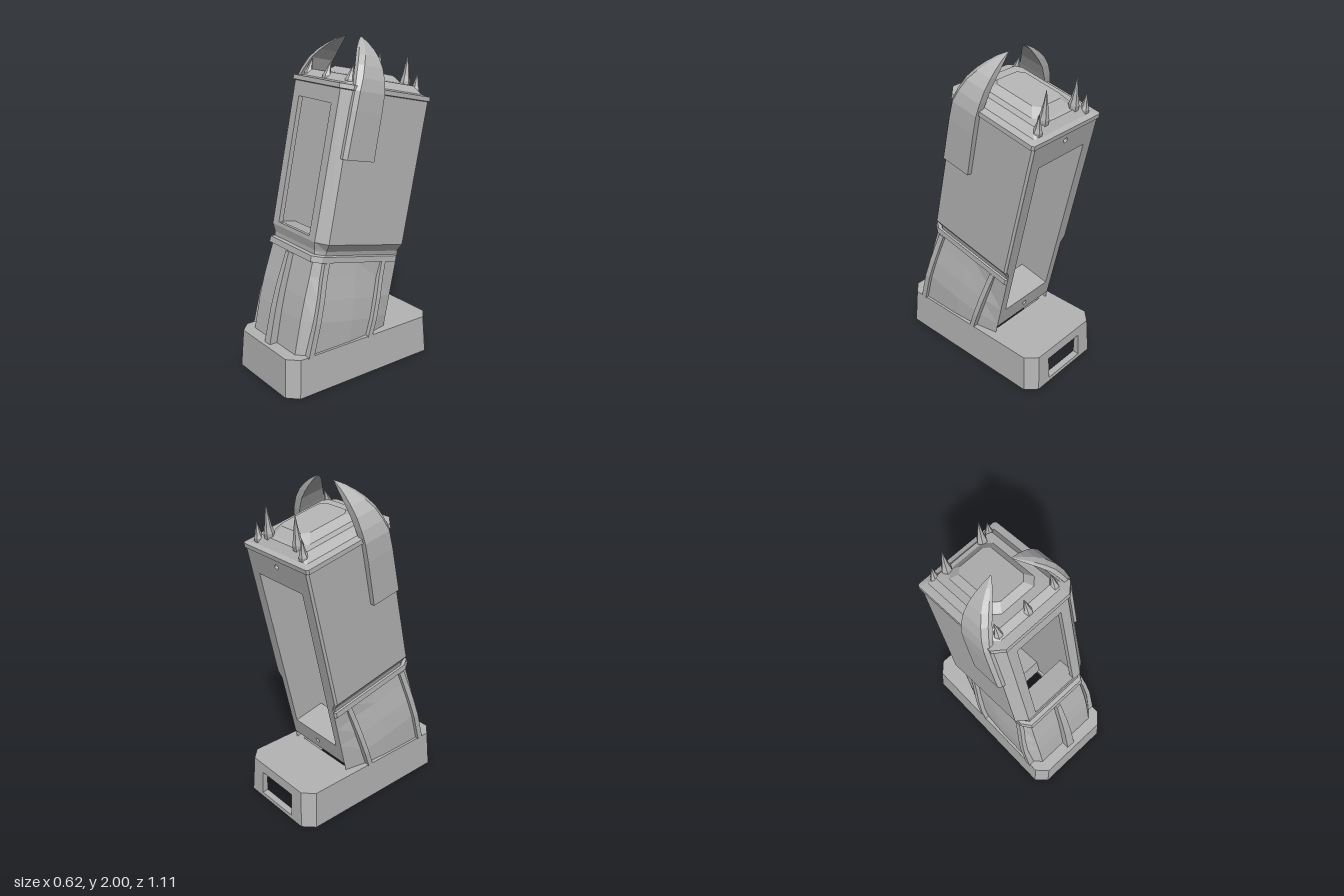
import * as THREE from 'three';

const TILT = THREE.MathUtils.degToRad(12);

export function createModel() {
  const root = new THREE.Group();
  root.name = 'leaningTower';
  const grey = new THREE.MeshStandardMaterial({ color: 0xb4b4b4, side: THREE.DoubleSide });
  grey.name = 'plain grey';

  function add(parent, name, geometry) {
    const mesh = new THREE.Mesh(geometry, grey);
    mesh.name = name;
    parent.add(mesh);
    return mesh;
  }

  // Skins a stack of rings, flat shaded; optionally closed round and capped.
  function loft(rings, { close = true, bottom = false, top = false } = {}) {
    const out = [];
    const n = rings[0].length;
    const tri = (a, b, c) => out.push(...a, ...b, ...c);
    for (let r = 0; r < rings.length - 1; r++) {
      for (let i = 0; i < (close ? n : n - 1); i++) {
        const j = (i + 1) % n;
        const a = rings[r][i], b = rings[r][j], c = rings[r + 1][j], d = rings[r + 1][i];
        tri(a, d, c);
        tri(a, c, b);
      }
    }
    const last = rings[rings.length - 1];
    for (let i = 1; i < n - 1; i++) {
      if (bottom) tri(rings[0][0], rings[0][i], rings[0][i + 1]);
      if (top) tri(last[0], last[i + 1], last[i]);
    }
    const g = new THREE.BufferGeometry();
    g.setAttribute('position', new THREE.Float32BufferAttribute(out, 3));
    g.computeVertexNormals();
    return g;
  }

  // Completes a +x half outline (back to front) with its mirror image.
  const mirror = (half) => [...half, ...half.map(([x, y, z]) => [-x, y, z]).reverse()];
  const octagon = (y, hx, zb, zf, cut, backCut = cut) => mirror([
    [hx - backCut, y, zb], [hx, y, zb + backCut], [hx, y, zf - cut], [hx - cut, y, zf]]);

  const path = (points) => new THREE.Path(points.map(([x, y]) => new THREE.Vector2(x, y)));
  function plate(points, holes, depth) {
    const shape = new THREE.Shape(points.map(([x, y]) => new THREE.Vector2(x, y)));
    shape.holes.push(...holes);
    return new THREE.ExtrudeGeometry(shape, { depth, bevelEnabled: false, curveSegments: 10 });
  }
  const rect = (hx, y0, y1) => [[-hx, y0], [hx, y0], [hx, y1], [-hx, y1]];
  const screwHole = (y) => new THREE.Path().absarc(0, y, 0.015, 0, Math.PI * 2, true);
  const box = (x0, x1, y0, y1, z0, z1) => new THREE.BoxGeometry(x1 - x0, y1 - y0, z1 - z0)
    .translate((x0 + x1) / 2, (y0 + y1) / 2, (z0 + z1) / 2);

  // ---- Base: hollow tray, open below, with a socket in the back ----
  const base = new THREE.Group();
  base.name = 'base';
  root.add(base);
  add(base, 'baseWalls', loft([
    octagon(0.21, 0.27, -0.51, 0.51, 0.05), octagon(0, 0.275, -0.515, 0.515, 0.05),
    octagon(0, 0.31, -0.553, 0.553, 0.064), octagon(0.238, 0.297, -0.538, 0.538, 0.064),
  ], { close: false }));
  const topOutline = octagon(0, 0.297, -0.538, 0.538, 0.064).map(([x, , z]) => [x, z]);
  add(base, 'baseTop', plate(topOutline, [path(rect(0.2, -0.17, 0.38))], 0.028)
    .rotateX(Math.PI / 2).translate(0, 0.238, 0));
  const backRing = (hb, ht, y0, y1, z0, z1) => [[hb, y0, z0], [-hb, y0, z0], [-ht, y1, z1], [ht, y1, z1]];
  add(base, 'baseBackSocket', loft([
    backRing(0.246, 0.233, 0, 0.238, -0.553, -0.538),
    backRing(0.146, 0.146, 0.025, 0.175, -0.551, -0.542),
    backRing(0.146, 0.146, 0.025, 0.175, -0.51, -0.51),
    backRing(0.225, 0.22, 0, 0.21, -0.515, -0.51),
  ]));
  const postProfile = [[0.02, 0.21], [0.02, 0.005], [0.044, 0.005], [0.044, 0.22]];
  for (const x of [-0.22, 0.22]) for (const z of [-0.37, 0.1]) {
    const post = add(base, 'basePost',
      new THREE.LatheGeometry(postProfile.map(([r, y]) => new THREE.Vector2(r, y)), 20));
    post.position.set(x, 0, z);
  }

  // ---- Tower: everything that leans backwards ----
  const tower = new THREE.Group();
  tower.name = 'tower';
  tower.position.y = 0.23;
  tower.rotation.x = -TILT;
  root.add(tower);

  // Keeps the lowest points on the level base top.
  const seat = ([x, y, z]) => [x, y === null ? -z * Math.tan(TILT) : y, z];

  // Lower body: height, half width, front half width, front
  const legRows = [
    [null, 0.281, 0.22, 0.455], [0.12, 0.281, 0.22, 0.456], [0.25, 0.268, 0.218, 0.45],
    [0.38, 0.247, 0.213, 0.438], [0.47, 0.235, 0.208, 0.43]];
  add(tower, 'lowerBody', loft(legRows.map(([y, hx, fx, zf]) => mirror([
    [0.24, y, -0.186], [Math.max(hx - 0.01, 0.24), y, -0.03], [hx, y, 0.12], [hx, y, zf - 0.06],
    [fx, y, zf]]).map(seat)), { close: false }));

  // Collar and neck under the head
  const bodyRing = (y, hx, fx, zf, zb = -0.186) => mirror([
    [hx - 0.012, y, zb], [hx, y, zb + 0.012], [hx, y, zf - 0.055], [fx, y, zf]]);
  add(tower, 'collar', loft([
    bodyRing(0.465, 0.234, 0.205, 0.425), bodyRing(0.47, 0.252, 0.215, 0.452),
    bodyRing(0.505, 0.25, 0.213, 0.45), bodyRing(0.512, 0.242, 0.205, 0.425),
    bodyRing(0.537, 0.247, 0.205, 0.428), bodyRing(0.585, 0.28, 0.217, 0.446),
  ], { close: false }));

  // Rib on the front of the lower body
  const ribBox = (y, x0, x1, z0, z1) =>
    [[x1, y, z0], [x1, y, z1], [x0, y, z1], [x0, y, z0]].map(seat);
  add(tower, 'frontRib', loft(legRows.map(([y, , , zf], i) => {
    const w = 0.029 - i * 0.0035;
    return ribBox(y, -w, w, zf - 0.02, zf + 0.048 - i * 0.003);
  }), { top: true }));

  // ---- Head: hollow cabinet with a front window ----
  add(tower, 'windowFrame', plate(rect(0.217, 0.585, 1.46), [path(rect(0.157, 0.607, 1.367))], 0.03)
    .translate(0, 0, 0.416));
  add(tower, 'windowSill', box(-0.2, 0.2, 0.583, 0.605, 0.3, 0.43));

  // Back panel with a tall opening between two deep blocks
  add(tower, 'backPanel', plate([
    [-0.24, 0.1], [0.24, 0.1], [0.24, 0.545], [0.266, 0.585], [0.259, 1.46],
    [-0.259, 1.46], [-0.266, 0.585], [-0.24, 0.545],
  ], [path(rect(0.19, 0.22, 1.312)), screwHole(1.415), screwHole(0.155)], 0.03)
    .translate(0, 0, -0.186));
  add(tower, 'backLintel', plate(rect(0.19, 1.312, 1.455), [screwHole(1.415)], 0.096)
    .translate(0, 0, -0.16));
  add(tower, 'cabinetFloor', plate(rect(0.19, 0.1, 0.22), [screwHole(0.155)], 0.18)
    .translate(0, 0, -0.16));

  // Roof: lip, sloped tier and raised centre
  add(tower, 'roof', loft([
    bodyRing(1.455, 0.272, 0.217, 0.446), bodyRing(1.459, 0.284, 0.224, 0.46, -0.19),
    bodyRing(1.485, 0.283, 0.222, 0.459, -0.188),
    octagon(1.492, 0.238, -0.158, 0.405, 0.03, 0.012), octagon(1.533, 0.2, -0.12, 0.37, 0.03, 0.012),
    octagon(1.535, 0.155, -0.093, 0.316, 0.042), octagon(1.573, 0.114, -0.042, 0.278, 0.034),
  ], { bottom: true, top: true }));

  // ---- Paired parts ----
  // Horn: height, outer x, inner x, back, front
  const hornRows = [
    [1.077, 0.305, 0.265, 0.188, 0.403], [1.35, 0.307, 0.265, 0.194, 0.4],
    [1.46, 0.304, 0.262, 0.196, 0.396], [1.53, 0.288, 0.235, 0.198, 0.384],
    [1.6, 0.258, 0.205, 0.204, 0.364], [1.655, 0.218, 0.165, 0.211, 0.337],
    [1.695, 0.175, 0.13, 0.22, 0.31], [1.73, 0.125, 0.097, 0.23, 0.28],
    [1.758, 0.07, 0.067, 0.24, 0.244]];
  const hornGeometry = loft(hornRows.map(([y, xo, xi, zb, zf]) => {
    const t = (xo - xi) * 0.5;
    return [[xo, y, zb], [xo, y, zf - t], [xo - t, y, zf], [xi, y, zf], [xi, y, zb]];
  }), { bottom: true, top: true });

  // Side ribs lean from the base up to the collar
  const sideRib = (zLow, zHigh, w, drop) => loft(legRows.map(([y, hx], i) => {
    const z = THREE.MathUtils.lerp(zLow, zHigh, i / 4);
    return ribBox(y, hx - 0.04, hx + 0.022 - drop, z - w, z + w);
  }), { top: true });

  const wallRing = (y, hx) => bodyRing(y, hx, 0.217, 0.446).slice(0, 4);
  for (const [label, s] of [['left', 1], ['right', -1]]) {
    const side = new THREE.Group();
    side.name = label + 'Side';
    side.scale.x = s;
    tower.add(side);
    add(side, label + 'HeadWall', loft([wallRing(0.585, 0.28), wallRing(1.46, 0.272)], { close: false }));
    add(side, label + 'InnerWall', box(0.19, 0.2, 0.1, 1.455, -0.16, 0.416));
    add(side, label + 'Horn', hornGeometry);
    add(side, label + 'FrontSideRib', sideRib(0.395, 0.36, 0.018, 0));
    add(side, label + 'RearSideRib', sideRib(-0.035, -0.075, 0.016, 0.004));
  }

  // Spikes on the roof: x, z, foot height, length, radius, backward sweep
  const spikes = [
    [0, 0.385, 1.485, 0.11, 0.026, -0.012], [0.195, 0.375, 1.485, 0.11, 0.026, -0.012],
    [-0.195, 0.375, 1.485, 0.11, 0.026, -0.012], [0.195, -0.132, 1.485, 0.125, 0.027, 0.01],
    [-0.195, -0.132, 1.485, 0.125, 0.027, 0.01], [0.125, -0.105, 1.5, 0.213, 0.03, 0.022],
    [-0.125, -0.105, 1.5, 0.213, 0.03, 0.022]];
  for (const [x, z, y, h, r, sweep] of spikes) {
    const rings = [[0, 1], [0.25, 1], [0.4, 0.72], [0.7, 0.38], [1, 0.03]].map(([t, k]) =>
      Array.from({ length: 6 }, (_, i) => {
        const a = (i / 6) * Math.PI * 2;
        return [Math.cos(a) * r * k, t * h, Math.sin(a) * r * k + sweep * t * t];
      }));
    add(tower, 'roofSpike', loft(rings, { top: true })).position.set(x, y, z);
  }

  return root;
}
